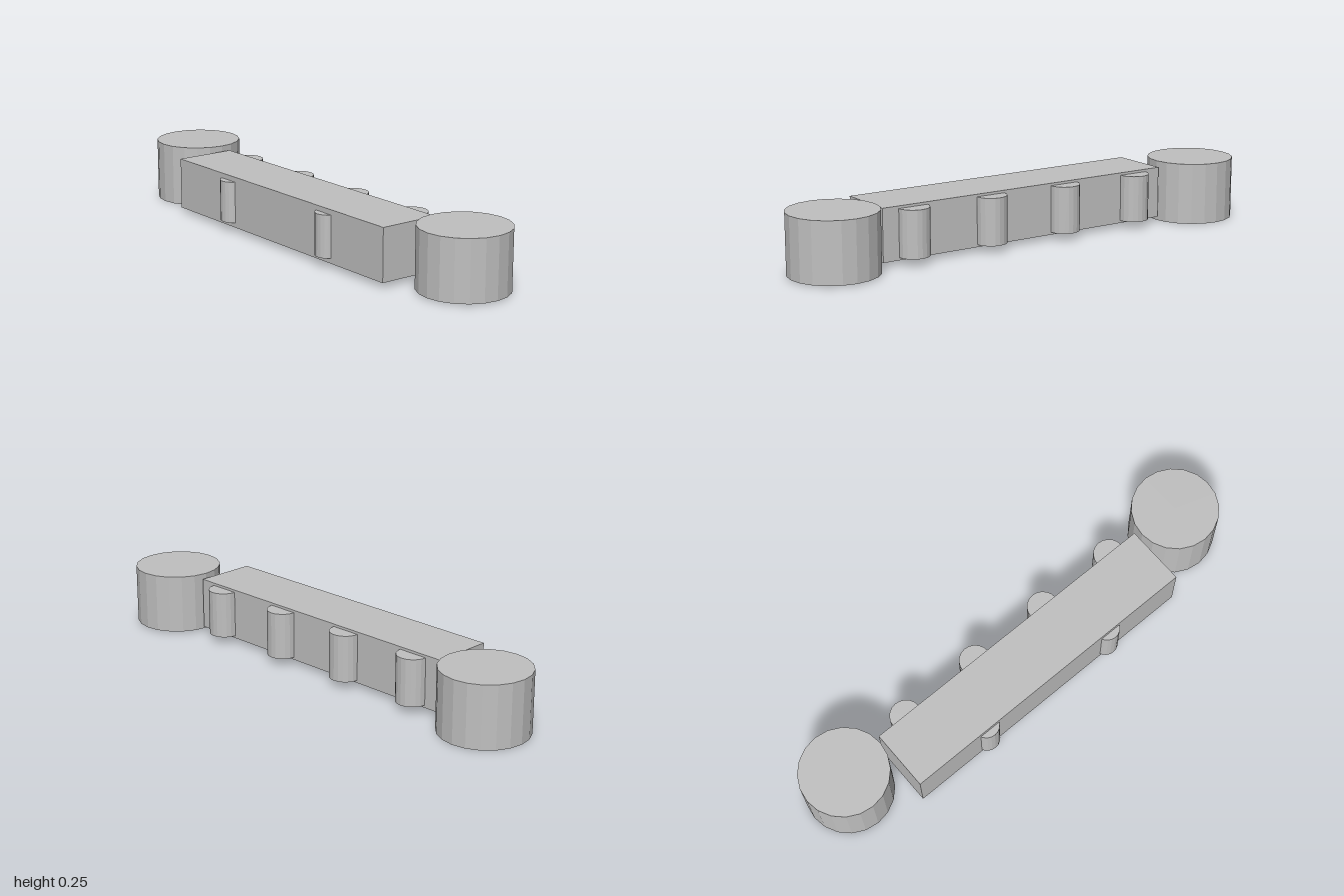
import * as THREE from 'three';

export function createModel() {
  const group = new THREE.Group();
  const grey = new THREE.MeshStandardMaterial({ color: 0xc0c0c0, flatShading: true });
  grey.name = 'grey';

  const add = (name, geometry, x, y, z) => {
    const mesh = new THREE.Mesh(geometry, grey);
    mesh.name = name;
    mesh.position.set(x, y, z);
    group.add(mesh);
  };
  // Faceted upright cylinder spanning y0 to y1
  const post = (name, r, x, z, y0, y1) =>
    add(name, new THREE.CylinderGeometry(r, r, y1 - y0, 20), x, (y0 + y1) / 2, z);

  // Long central block
  add('wallBlock', new THREE.BoxGeometry(1.28, 0.205, 0.244), 0, 0.1225, 0.058);

  // Round towers at both ends, the left one slightly shorter
  post('rightTower', 0.173, -0.827, -0.035, 0, 0.245);
  post('leftTower', 0.173, 0.827, -0.035, 0.005, 0.24);

  // Slim half-sunk columns on the front
  for (const x of [-0.302, 0.302]) post('frontColumn', 0.05, x, 0.159, 0.04, 0.205);

  // Thicker half-sunk columns on the back
  for (const x of [-0.51, -0.17, 0.17, 0.51]) post('backColumn', 0.062, x, -0.065, 0.03, 0.215);

  return group;
}
